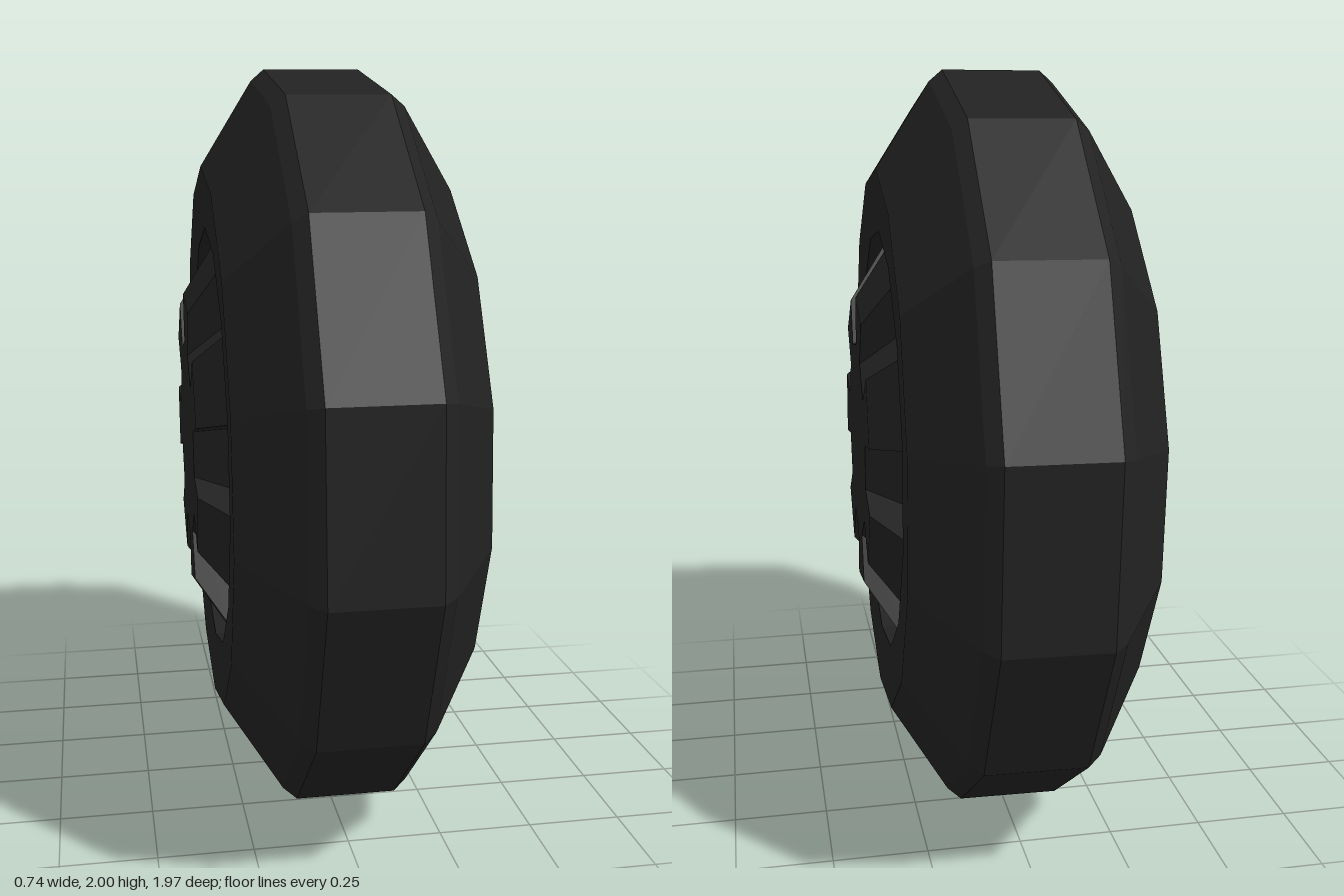
import * as THREE from 'three';

const SIDES = 14;
const STEP = (Math.PI * 2) / SIDES;
const TURN = 0.035; // slight roll of the wheel about its axle

const darkRubber = new THREE.MeshStandardMaterial({ color: 0x222222, flatShading: true });
darkRubber.name = 'darkRubber';

// Tyre: half profile as [radius, x], mirrored and turned around the axle
function makeTyre() {
  const half = [[1, 0.13], [0.97, 0.165], [0.745, 0.307], [0.58, 0.3], [0.58, 0.24]];
  const profile = [
    ...half.map(([r, x]) => new THREE.Vector2(r, -x)).reverse(),
    ...half.map(([r, x]) => new THREE.Vector2(r, x)),
  ];
  const geometry = new THREE.LatheGeometry(profile, SIDES, -Math.PI / 2 - TURN);
  geometry.rotateZ(-Math.PI / 2);
  const mesh = new THREE.Mesh(geometry, darkRubber);
  mesh.name = 'tyre';
  return mesh;
}

// Wheel face on +x: raised spokes alternating with sunken notches
function makeWheelFace(start) {
  const outer = [0.58, 0.25];
  const floor = [0.41, 0.21];
  const shoulder = [0.4, 0.365];
  const hub = [0.27, 0.365];
  const centre = [0, 0.365];
  const positions = [];
  const point = ([r, x], a) => [x, r * Math.cos(a), r * Math.sin(a)];
  const quad = (a, b, c, d) => positions.push(...a, ...b, ...c, ...a, ...c, ...d);

  for (let i = 0; i < SIDES; i++) {
    const a0 = start + i * STEP;
    const a1 = a0 + STEP;
    const notch = i % 2 === 0;
    const profile = [outer, notch ? floor : shoulder, hub];
    for (let j = 0; j < profile.length - 1; j++) {
      const p = profile[j];
      const q = profile[j + 1];
      quad(point(p, a0), point(p, a1), point(q, a1), point(q, a0));
    }
    // Hub cap wedge
    positions.push(...point(hub, a0), ...point(hub, a1), ...point(centre, a0));
    // Side walls of the notch
    if (notch) {
      const wall = [outer, floor, hub, shoulder];
      quad(...wall.map((p) => point(p, a0)));
      quad(...wall.map((p) => point(p, a1)).reverse());
    }
  }
  const geometry = new THREE.BufferGeometry();
  geometry.setAttribute('position', new THREE.Float32BufferAttribute(positions, 3));
  geometry.computeVertexNormals();
  return new THREE.Mesh(geometry, darkRubber);
}

export function createModel() {
  const model = new THREE.Group();
  model.name = 'wheel';

  const leftFace = makeWheelFace(-TURN);
  leftFace.name = 'leftWheelFace';
  const rightFace = makeWheelFace(TURN);
  rightFace.name = 'rightWheelFace';
  rightFace.rotation.y = Math.PI;

  // Whole wheel sits very slightly askew
  const assembly = new THREE.Group();
  assembly.name = 'wheelAssembly';
  assembly.add(makeTyre(), leftFace, rightFace);
  assembly.position.y = 1;
  assembly.rotation.set(0, -0.016, 0.008);
  model.add(assembly);
  return model;
}
